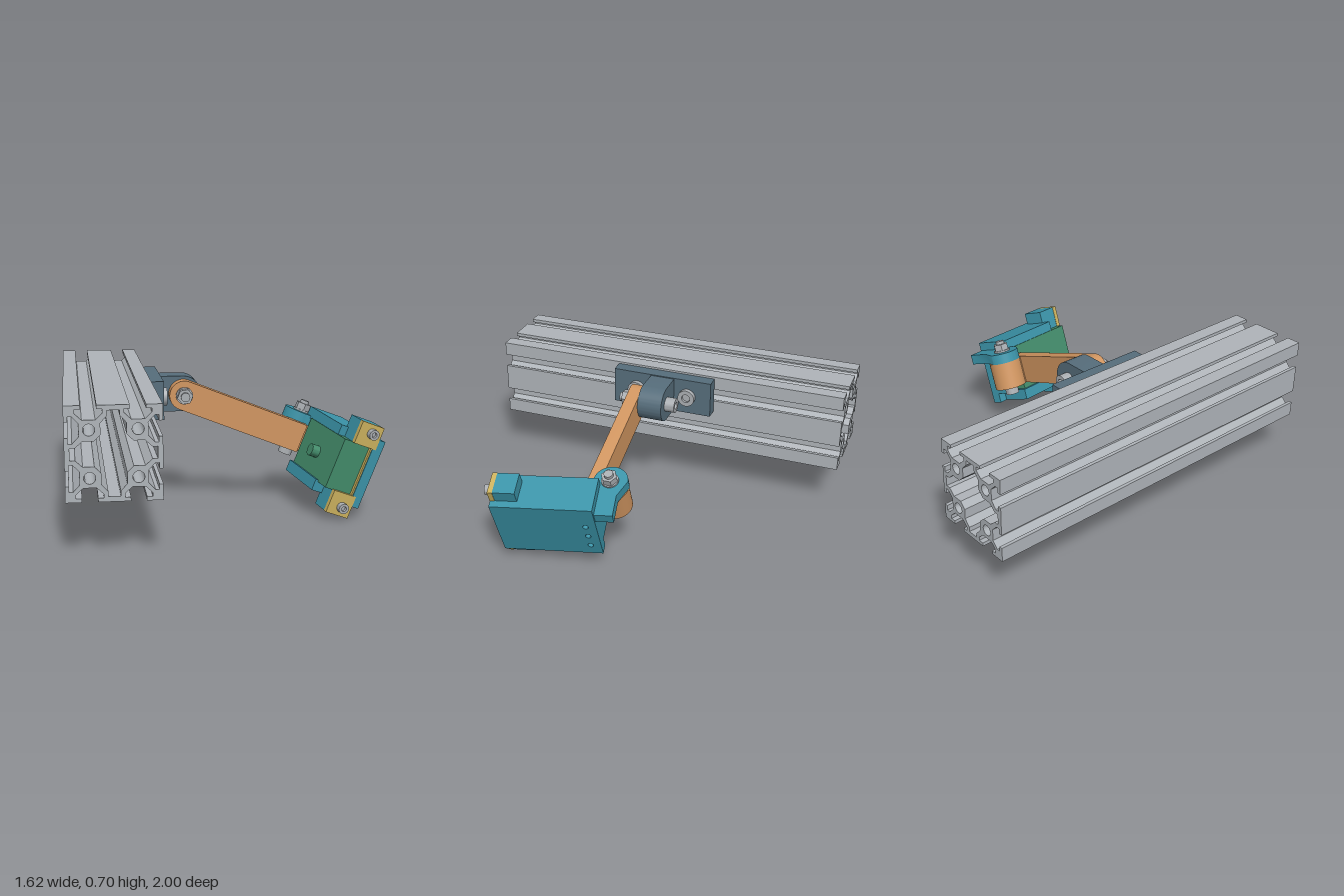
import * as THREE from 'three';
import { toCreasedNormals } from 'three/addons/utils/BufferGeometryUtils.js';

const mat = (name, hex) => {
  const m = new THREE.MeshStandardMaterial({ color: hex });
  m.name = name;
  return m;
};

export function createModel() {
  const aluminium = mat('aluminium', 0xaeb3b8);
  const steel = mat('steel', 0xaaaeb2);
  const slate = mat('slate', 0x566d7b);
  const orange = mat('orange', 0xd09560);
  const teal = mat('teal', 0x3b94a9);
  const green = mat('green', 0x438c6b);
  const gold = mat('gold', 0xccb25e);

  const root = new THREE.Group();
  root.name = 'cameraArmMount';

  const group = (parent, name, x, y, z) => {
    const g = new THREE.Group();
    g.name = name;
    g.position.set(x, y, z);
    parent.add(g);
    return g;
  };
  const add = (parent, name, geo, m) => {
    const mesh = new THREE.Mesh(toCreasedNormals(geo, 0.6), m);
    mesh.name = name;
    parent.add(mesh);
    return mesh;
  };
  // box given by its limits on each axis
  const box = (parent, name, m, [x0, x1], [y0, y1], [z0, z1]) => add(parent, name,
    new THREE.BoxGeometry(x1 - x0, y1 - y0, z1 - z0)
      .translate((x0 + x1) / 2, (y0 + y1) / 2, (z0 + z1) / 2), m);
  const extrude = (shape, depth) =>
    new THREE.ExtrudeGeometry(shape, { depth, bevelEnabled: false, curveSegments: 20 });
  const poly = (pts) => new THREE.Shape(pts.map(([x, y]) => new THREE.Vector2(x, y)));
  const circlePath = (x, y, r) => new THREE.Path().absarc(x, y, r, 0, Math.PI * 2, true);
  const cyl = (r, y0, y1, sides = 32) =>
    new THREE.CylinderGeometry(r, r, y1 - y0, sides).translate(0, (y0 + y1) / 2, 0);
  // socket screw head standing on y = 0
  const head = (r, h) => new THREE.LatheGeometry(
    [[r, 0], [r, h], [r * 0.5, h], [r * 0.5, h * 0.4], [0, h * 0.4]]
      .map(([x, y]) => new THREE.Vector2(x, y)), 24);
  // hex nut, washer and bolt end standing on y = 0
  const nut = (parent, name) => {
    const g = group(parent, name, 0, 0, 0);
    add(g, 'washer', cyl(0.045, 0, 0.01), steel);
    add(g, 'hexNut', cyl(0.042, 0.01, 0.045, 6), steel);
    add(g, 'boltEnd', cyl(0.024, 0.045, 0.062, 20), steel);
    return g;
  };

  // ---- slotted rail: two slots on each side, four bores, one hollow core
  const slot = [[-0.036, 0], [-0.036, 0.018], [-0.062, 0.018], [-0.062, 0.036], [-0.03, 0.066],
    [0.03, 0.066], [0.062, 0.036], [0.062, 0.018], [0.036, 0.018], [0.036, 0]];
  const hollow = [[-0.028, 0.197], [0.028, 0.197], [0.028, 0.173], [0.058, 0.14], [0.058, 0.088],
    [0.088, 0.058], [0.14, 0.058], [0.173, 0.028]];
  const outline = [], core = [];
  for (let k = 0; k < 4; k++) {
    const c = [1, 0, -1, 0][k], s = [0, -1, 0, 1][k];
    const turn = ([x, y]) => [x * c - y * s, x * s + y * c];
    outline.push(turn([-0.221, 0.221]));
    for (const u of [-0.11, 0.11])
      for (const [x, d] of slot) outline.push(turn([u + x, 0.221 - d]));
    for (const p of hollow) core.push(turn(p));
  }
  // counter-clockwise outline, so that the hole walls face inwards
  const profile = poly(outline.reverse());
  profile.holes.push(poly(core));
  for (const x of [-0.11, 0.11])
    for (const y of [-0.11, 0.11]) profile.holes.push(circlePath(x, y, 0.027));
  const rail = add(root, 'slottedRail', extrude(profile, 2).translate(0, 0, -1), aluminium);
  rail.position.set(-0.588, 0.48, 0);

  // ---- nut strip inside the rail slot
  const strip = poly([[-0.365, 0.557], [-0.388, 0.557], [-0.388, 0.535], [-0.412, 0.535], [-0.442, 0.563],
    [-0.442, 0.617], [-0.412, 0.645], [-0.388, 0.645], [-0.388, 0.623], [-0.365, 0.623]]);
  add(root, 'slotNutStrip', extrude(strip, 0.5).translate(0, 0, -0.25), orange);

  // ---- bracket: base plate, rounded lug, two screws
  const bracket = group(root, 'bracket', 0.003, 0, 0);
  box(bracket, 'basePlate', slate, [-0.37, -0.3], [0.49, 0.69], [-0.282, 0.282]);
  const lug = new THREE.Shape();
  lug.moveTo(-0.31, 0.685);
  lug.lineTo(-0.31, 0.495);
  lug.lineTo(-0.179, 0.495);
  lug.absarc(-0.179, 0.59, 0.095, -Math.PI / 2, Math.PI / 2, false);
  add(bracket, 'lug', extrude(lug, 0.135).translate(0, 0, -0.07), slate);
  for (const z of [-0.148, 0.148]) {
    const s = add(bracket, 'plateScrew', head(0.047, 0.026), steel);
    s.rotation.z = -Math.PI / 2;
    s.position.set(-0.3, 0.59, z);
  }

  // ---- arm, tilted down about the pivot
  const arm = group(root, 'arm', -0.176, 0.59, 0);
  arm.rotation.z = -0.375;
  const link = new THREE.Shape();
  link.absarc(0, 0, 0.078, Math.PI / 2, Math.PI * 1.5, false);
  link.lineTo(0.685, -0.078);
  link.lineTo(0.685, 0.078);
  add(arm, 'armLink', extrude(link, 0.07).translate(0, 0, 0.065), orange);
  const pivotNut = nut(arm, 'pivotNut');
  pivotNut.rotation.x = Math.PI / 2;
  pivotNut.position.z = 0.135;
  const pivotHead = add(arm, 'pivotBoltHead', head(0.04, 0.055), steel);
  pivotHead.rotation.x = -Math.PI / 2;
  pivotHead.position.z = -0.07;

  // ---- knuckle at the arm end
  const joint = group(arm, 'knuckleJoint', 0.66, 0, -0.005);
  add(joint, 'knuckle', cyl(0.088, -0.078, 0.075), orange);
  box(joint, 'knuckleWeb', orange, [-0.06, 0.025], [-0.078, 0.075], [0.02, 0.075]);
  nut(joint, 'knuckleNut').position.y = 0.128;
  const lowHead = add(joint, 'knuckleBoltHead', head(0.037, 0.045), steel);
  lowHead.rotation.x = Math.PI;
  lowHead.position.y = -0.078;

  // ---- holder, turned about the knuckle
  const holder = group(joint, 'holder', -0.01, -0.01, 0);
  holder.rotation.y = 0.19;
  const ear = new THREE.Shape();
  ear.moveTo(0.225, -0.12);
  ear.lineTo(0.225, 0.045);
  ear.lineTo(0.1, 0.045);
  ear.lineTo(0.01, 0.09);
  ear.absarc(0.01, 0, 0.09, Math.PI / 2, Math.PI * 1.5, false);
  ear.lineTo(0.1, -0.12);
  add(holder, 'hingeEar', extrude(ear, 0.055).rotateX(-Math.PI / 2).translate(0, 0.084, 0), teal);

  // back panel with three small holes
  const panel = poly([[-0.58, -0.185], [-0.05, -0.185], [-0.05, 0.185], [-0.58, 0.185]]);
  for (const q of [0.045, -0.035, -0.115]) panel.holes.push(circlePath(-0.105, q, 0.015));
  add(holder, 'backPanel', extrude(panel, 0.055).rotateY(Math.PI / 2).translate(0.18, 0, 0), teal);
  box(holder, 'endWall', teal, [0.08, 0.181], [-0.13, 0.13], [0.05, 0.12]);
  box(holder, 'upperWall', teal, [0.03, 0.181], [0.125, 0.185], [0.05, 0.46]);
  box(holder, 'lowerWall', teal, [0.01, 0.181], [-0.185, -0.125], [0.1, 0.46]);

  // circuit module with its knob
  box(holder, 'module', green, [0.025, 0.176], [-0.135, 0.132], [0.12, 0.557]);
  add(holder, 'moduleKnob', cyl(0.032, -0.03, 0.03).rotateZ(Math.PI / 2).translate(0.01, -0.005, 0.33), green);

  // front clamp: corner blocks, end plates, side strip, screws
  for (const side of [-1, 1]) {
    const span = (a, b) => (side > 0 ? [a, b] : [-b, -a]);
    box(holder, 'cornerBlock', teal, [0.07, 0.196], span(0.13, 0.25), [0.44, 0.556]);
    box(holder, 'clampPlate', gold, [0.068, 0.198], span(0.13, 0.25), [0.556, 0.582]);
    const s = add(holder, 'clampScrew', head(0.027, 0.03), steel);
    s.rotation.x = Math.PI / 2;
    s.position.set(0.142, side * 0.203, 0.582);
  }
  box(holder, 'clampStrip', gold, [0.172, 0.198], [-0.132, 0.132], [0.54, 0.575]);

  return root;
}
